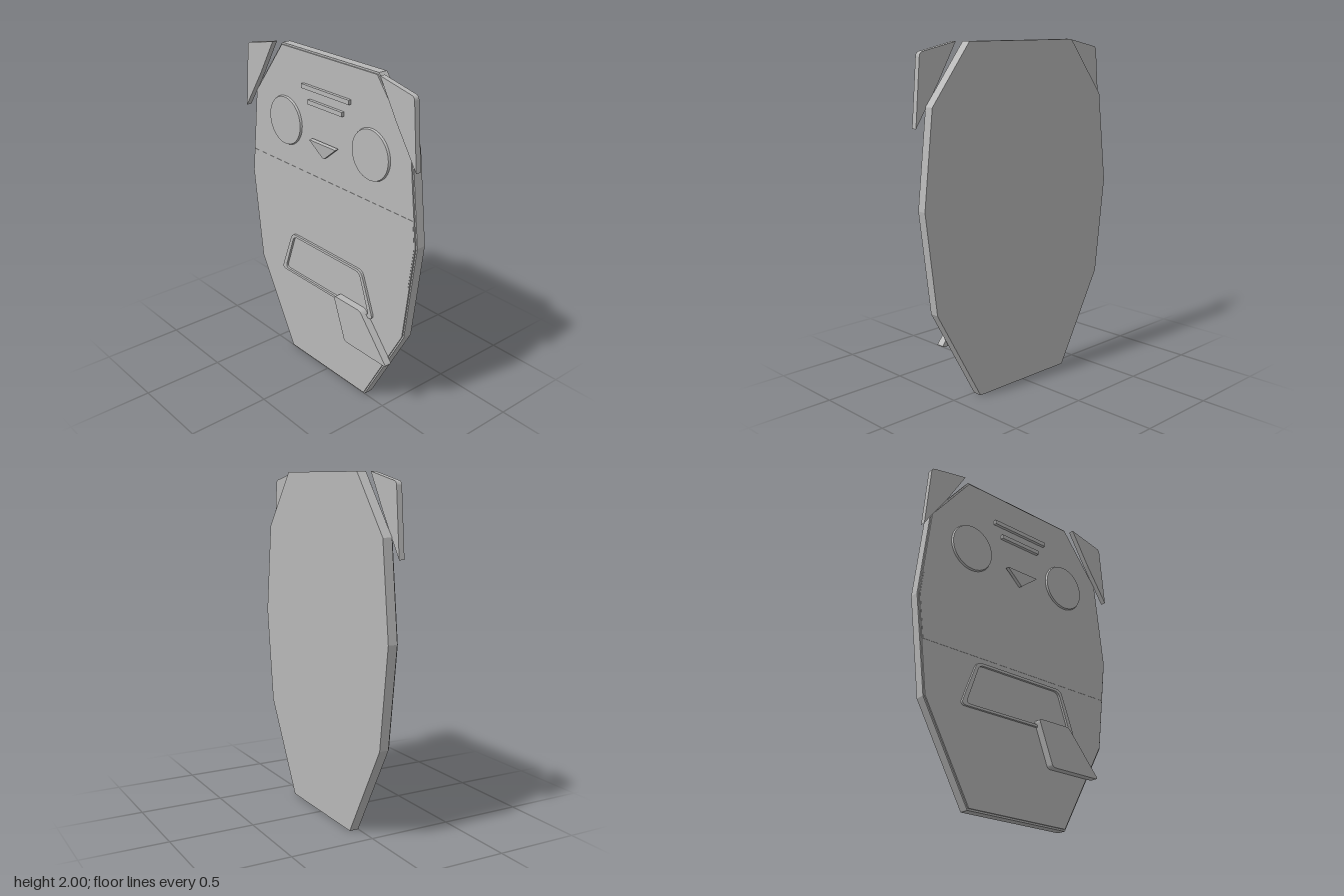
import * as THREE from 'three';

const grey = new THREE.MeshStandardMaterial({ color: 0xb8b8b8 });
grey.name = 'plain grey';

// Closed outline with corners rounded by the given radius
function outline(points, radius = 0, Type = THREE.Shape) {
  const pts = points.map(([x, y]) => new THREE.Vector2(x, y));
  const path = new Type();
  pts.forEach((p, i) => {
    const toward = (q) => p.clone().add(q.clone().sub(p).setLength(radius));
    const a = radius ? toward(pts[(i + pts.length - 1) % pts.length]) : p;
    if (i === 0) path.moveTo(a.x, a.y);
    else path.lineTo(a.x, a.y);
    if (radius) {
      const b = toward(pts[(i + 1) % pts.length]);
      path.quadraticCurveTo(p.x, p.y, b.x, b.y);
    }
  });
  path.closePath();
  return path;
}

// Flat plate standing between two depths
function plate(name, shape, back, front) {
  const geometry = new THREE.ExtrudeGeometry(shape, { depth: front - back, bevelEnabled: false, curveSegments: 5 });
  geometry.translate(0, 0, back);
  const mesh = new THREE.Mesh(geometry, grey);
  mesh.name = name;
  return mesh;
}

// Left half listed top to bottom, completed by mirroring
const mirrored = (half) => [...half.map(([x, y]) => [-x, y]), ...half.slice().reverse()];

export function createModel() {
  const model = new THREE.Group();
  model.name = 'owlPlaque';

  // Body slab with a slightly inset front face
  const half = [[0.4, 2], [0.66, 1.67], [0.723, 1.13], [0.652, 0.55], [0.345, 0]];
  const body = mirrored(half);
  model.add(plate('bodySlab', outline(body), -0.055, 0));
  const inset = body.map(([x, y]) => [x * 0.988, 1 + (y - 1) * 0.99]);
  model.add(plate('bodyFront', outline(inset), 0, 0.008));

  // Band across the chest
  const band = mirrored([[0.69, 1.28], [0.708, 1.13], [0.676, 0.87]]);
  model.add(plate('chestBand', outline(band), 0.007, 0.0095));

  // Ears and eyes
  for (const side of [-1, 1]) {
    const name = side > 0 ? 'left' : 'right';
    const ear = new THREE.Shape();
    ear.moveTo(side * 0.445, 2);
    ear.lineTo(side * 0.67, 1.953);
    ear.quadraticCurveTo(side * 0.688, 1.948, side * 0.69, 1.93);
    ear.lineTo(side * 0.723, 1.56);
    ear.lineTo(side * 0.57, 1.79);
    ear.closePath();
    model.add(plate(name + 'Ear', ear, 0.003, 0.035));

    const disc = new THREE.CylinderGeometry(0.142, 0.148, 0.016, 48);
    disc.rotateX(Math.PI / 2);
    const eye = new THREE.Mesh(disc, grey);
    eye.position.set(side * 0.365, 1.55, 0.012);
    eye.name = name + 'Eye';
    model.add(eye);
  }

  // Forehead bars
  for (const [width, y] of [[0.4, 1.798], [0.29, 1.717]]) {
    const bar = new THREE.Mesh(new THREE.BoxGeometry(width, 0.026, 0.022), grey);
    bar.position.set(0, y, 0.016);
    bar.name = 'foreheadBar';
    model.add(bar);
  }

  // Beak, leaning out at the top
  const beak = plate('beak', outline([[-0.115, 0.045], [0, -0.045], [0.115, 0.045]], 0.008), -0.012, 0.012);
  beak.position.set(0, 1.465, 0.027);
  beak.rotation.x = 0.12;
  model.add(beak);

  // Raised pocket rim
  const rim = outline([[-0.42, 0.56], [0.42, 0.56], [0.315, 0.836], [-0.315, 0.836]], 0.035);
  rim.holes.push(outline([[-0.385, 0.575], [-0.298, 0.82], [0.298, 0.82], [0.385, 0.575]], 0.03, THREE.Path));
  model.add(plate('pocketRim', rim, 0.005, 0.022));

  // Slanted flap beside the pocket
  const flap = outline([[0.215, 0.333], [0.575, 0.333], [0.345, 0.6], [0.115, 0.6]], 0.02);
  model.add(plate('sideFlap', flap, 0.008, 0.053));

  return model;
}
